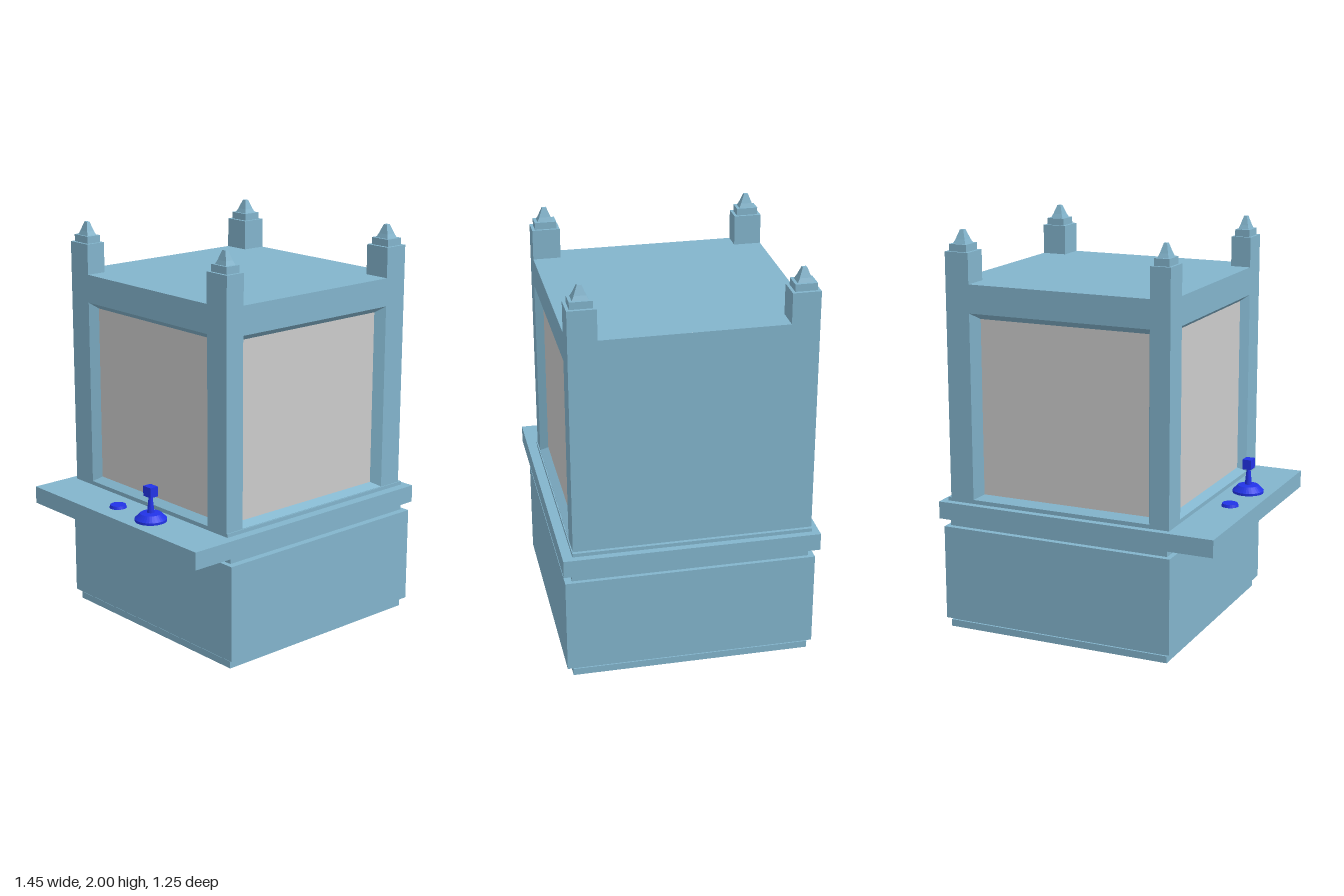
import * as THREE from 'three';

const mat = (color) => new THREE.MeshStandardMaterial({ color, flatShading: true });
const body = mat(0x82b4cc);
const grey = mat(0xcccccc);
const blue = mat(0x2233e6);

export function createModel() {
  const model = new THREE.Group();

  const add = (name, geometry, material, x = 0, y = 0, z = 0, parent = model) => {
    const mesh = new THREE.Mesh(geometry, material);
    mesh.name = name;
    mesh.position.set(x, y, z);
    parent.add(mesh);
    return mesh;
  };
  // Box given by its limits along each axis
  const block = (name, x0, x1, y0, y1, z0, z1, material = body) =>
    add(name, new THREE.BoxGeometry(x1 - x0, y1 - y0, z1 - z0), material,
      (x0 + x1) / 2, (y0 + y1) / 2, (z0 + z1) / 2);

  // Stepped base and overhanging ledge
  block('foot', -0.48, 0.695, 0, 0.035, -0.585, 0.59);
  block('footStep', -0.47, 0.68, 0.035, 0.05, -0.575, 0.58);
  block('base', -0.5, 0.71, 0.05, 0.53, -0.605, 0.62);
  block('neck', -0.475, 0.69, 0.53, 0.575, -0.575, 0.585);
  block('ledge', -0.725, 0.725, 0.575, 0.662, -0.625, 0.628);
  block('cabinetPlinth', -0.49, 0.692, 0.662, 0.68, -0.59, 0.58);

  // Cabinet limits
  const X0 = -0.49, X1 = 0.675, Z0 = -0.59, Z1 = 0.575, Y0 = 0.68, Y1 = 1.75;

  // Wall with a bevelled opening: rings for outer edge, opening and recessed pane
  const windowWall = (name, [o0, o1], [h0, h1], [p0, p1]) => {
    const depth = 0.04;
    const rings = [
      [o0, o1, Y0, Y1, 0],
      [h0, h1, 0.682, 1.61, 0],
      [p0, p1, 0.705, 1.58, -depth],
    ].map(([a, b, c, d, z]) => [[a, c, z], [b, c, z], [b, d, z], [a, d, z]]);
    const points = [];
    for (let r = 0; r < 2; r++) {
      for (let i = 0; i < 4; i++) {
        const j = (i + 1) % 4;
        const [a, b, c, d] = [rings[r][i], rings[r][j], rings[r + 1][j], rings[r + 1][i]];
        points.push(...a, ...b, ...c, ...a, ...c, ...d);
      }
    }
    const geometry = new THREE.BufferGeometry();
    geometry.setAttribute('position', new THREE.Float32BufferAttribute(points, 3));
    geometry.computeVertexNormals();
    const wall = new THREE.Group();
    wall.name = name;
    add('windowFrame', geometry, body, 0, 0, 0, wall);
    add('windowPane', new THREE.PlaneGeometry(p1 - p0, 0.875), grey,
      (p0 + p1) / 2, 1.1425, -depth, wall);
    model.add(wall);
    return wall;
  };
  windowWall('frontWall', [X0, X1], [-0.39, 0.55], [-0.37, 0.51]).position.z = Z1;
  const back = windowWall('backWall', [-X1, -X0], [-0.55, 0.39], [-0.51, 0.37]);
  back.rotation.y = Math.PI;
  back.position.z = Z0;
  const side = windowWall('controlSideWall', [Z0, Z1], [-0.455, 0.44], [-0.425, 0.41]);
  side.rotation.y = -Math.PI / 2;
  side.position.x = X0;

  // Closed side and roof
  const closed = add('closedWall', new THREE.PlaneGeometry(Z1 - Z0, Y1 - Y0), body,
    X1, (Y0 + Y1) / 2, (Z0 + Z1) / 2);
  closed.rotation.y = Math.PI / 2;
  const roof = add('roof', new THREE.PlaneGeometry(X1 - X0, Z1 - Z0), body,
    (X0 + X1) / 2, Y1, (Z0 + Z1) / 2);
  roof.rotation.x = -Math.PI / 2;

  // Corner posts rising above the roof, each with a stepped, flared finial
  for (const [x0, x1] of [[X0, -0.388], [0.55, X1]]) {
    for (const [z0, z1] of [[Z0, -0.455], [0.438, Z1]]) {
      const cx = (x0 + x1) / 2, cz = (z0 + z1) / 2, w = x1 - x0, d = z1 - z0;
      block('cornerPost', x0, x1, Y1, 1.9, z0, z1);
      add('finialStep', new THREE.BoxGeometry(w * 0.74, 0.035, d * 0.78), body, cx, 1.9175, cz);
      const profile = [[0.5, 0], [0.37, 0.02], [0.14, 0.065], [0, 0.065]]
        .map(([r, y]) => new THREE.Vector2(r * Math.SQRT2, y));
      const spire = new THREE.LatheGeometry(profile, 4, Math.PI / 4);
      spire.scale(w * 0.54, 1, d * 0.56);
      add('finialSpire', spire, body, cx, 1.935, cz);
    }
  }

  // Joystick: dished base, tapered shaft and square knob
  const jx = -0.605, jz = 0.157;
  const dish = [[0, 0], [0.078, 0], [0.078, 0.012], [0.052, 0.038], [0.02, 0.042], [0, 0.042]]
    .map(([r, y]) => new THREE.Vector2(r, y));
  add('joystickBase', new THREE.LatheGeometry(dish, 32), blue, jx, 0.662, jz);
  add('joystickShaft', new THREE.CylinderGeometry(0.009, 0.018, 0.09, 16), blue, jx, 0.745, jz);
  add('joystickKnob', new THREE.BoxGeometry(0.045, 0.05, 0.055), blue, jx, 0.81, jz);

  // Push button
  add('button', new THREE.CylinderGeometry(0.038, 0.043, 0.015, 32), blue, jx, 0.669, -0.098);

  return model;
}
